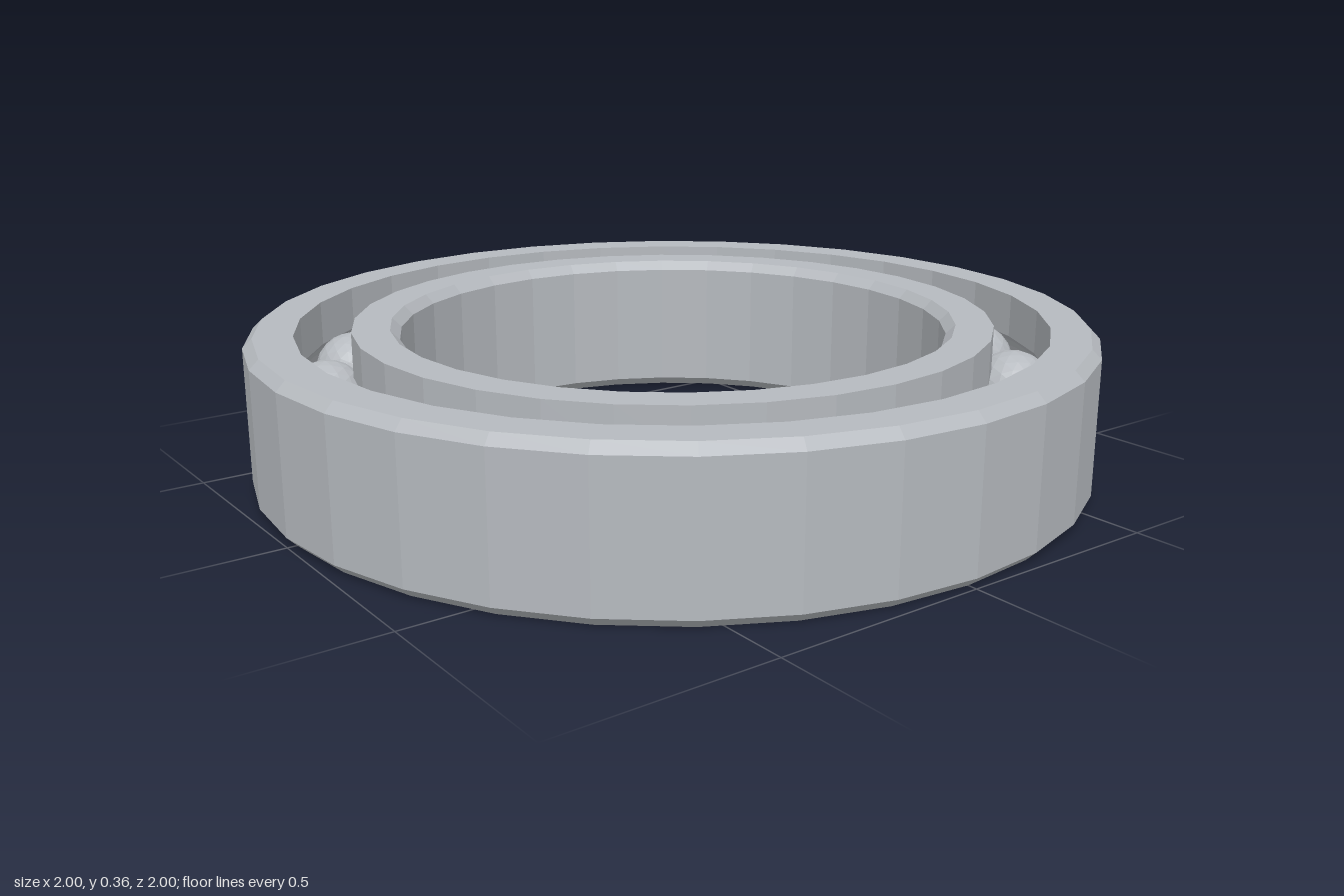
import * as THREE from 'three';

const HEIGHT = 0.36, MID = HEIGHT / 2, CHAMFER = 0.022;
const ORBIT = 0.8225, BALL_R = 0.096, BALLS = 19, SIDES = 32;

// Faceted normals, one per flat face
function faceted(geometry) {
  const g = geometry.index ? geometry.toNonIndexed() : geometry;
  g.computeVertexNormals();
  return g;
}

// Half-round groove that the balls run in; side is +1 for the outer race, -1 for the inner
function groove(shoulder, side) {
  const r = BALL_R + 0.002;
  const a = Math.acos(Math.abs(shoulder - ORBIT) / r);
  const points = [];
  for (let i = 0; i <= 8; i++) {
    const t = -a + (2 * a * i) / 8;
    points.push([ORBIT + side * r * Math.cos(t), MID + r * Math.sin(t)]);
  }
  return points;
}

// Closed profile of [radius, y], running up the outside and down the inside
function race(name, profile, material) {
  const points = [...profile, profile[0]].map(([r, y]) => new THREE.Vector2(r, y));
  const mesh = new THREE.Mesh(faceted(new THREE.LatheGeometry(points, SIDES)), material);
  mesh.name = name;
  return mesh;
}

export function createModel() {
  const group = new THREE.Group();
  group.name = 'ballBearing';
  const steel = new THREE.MeshStandardMaterial({ color: 0xb6babf });
  steel.name = 'steel';

  // Outer ring: chamfered outside, grooved inside
  const outerShoulder = 0.887;
  group.add(race('outerRing', [
    [outerShoulder, 0], [1 - CHAMFER, 0], [1, CHAMFER],
    [1, HEIGHT - CHAMFER], [1 - CHAMFER, HEIGHT], [outerShoulder, HEIGHT],
    ...groove(outerShoulder, 1).reverse(),
  ], steel));

  // Inner ring: grooved outside, chamfered bore
  const innerShoulder = 0.758, bore = 0.648;
  group.add(race('innerRing', [
    [bore + CHAMFER, 0], [innerShoulder, 0],
    ...groove(innerShoulder, -1),
    [innerShoulder, HEIGHT], [bore + CHAMFER, HEIGHT],
    [bore, HEIGHT - CHAMFER], [bore, CHAMFER],
  ], steel));

  // Balls spaced evenly between the rings
  const balls = new THREE.Group();
  balls.name = 'balls';
  const ballGeometry = faceted(new THREE.IcosahedronGeometry(BALL_R, 3));
  for (let i = 0; i < BALLS; i++) {
    const angle = (i / BALLS) * Math.PI * 2;
    const ball = new THREE.Mesh(ballGeometry, steel);
    ball.name = 'ball';
    ball.position.set(ORBIT * Math.cos(angle), MID, -ORBIT * Math.sin(angle));
    ball.rotation.y = angle;
    balls.add(ball);
  }
  group.add(balls);
  return group;
}
